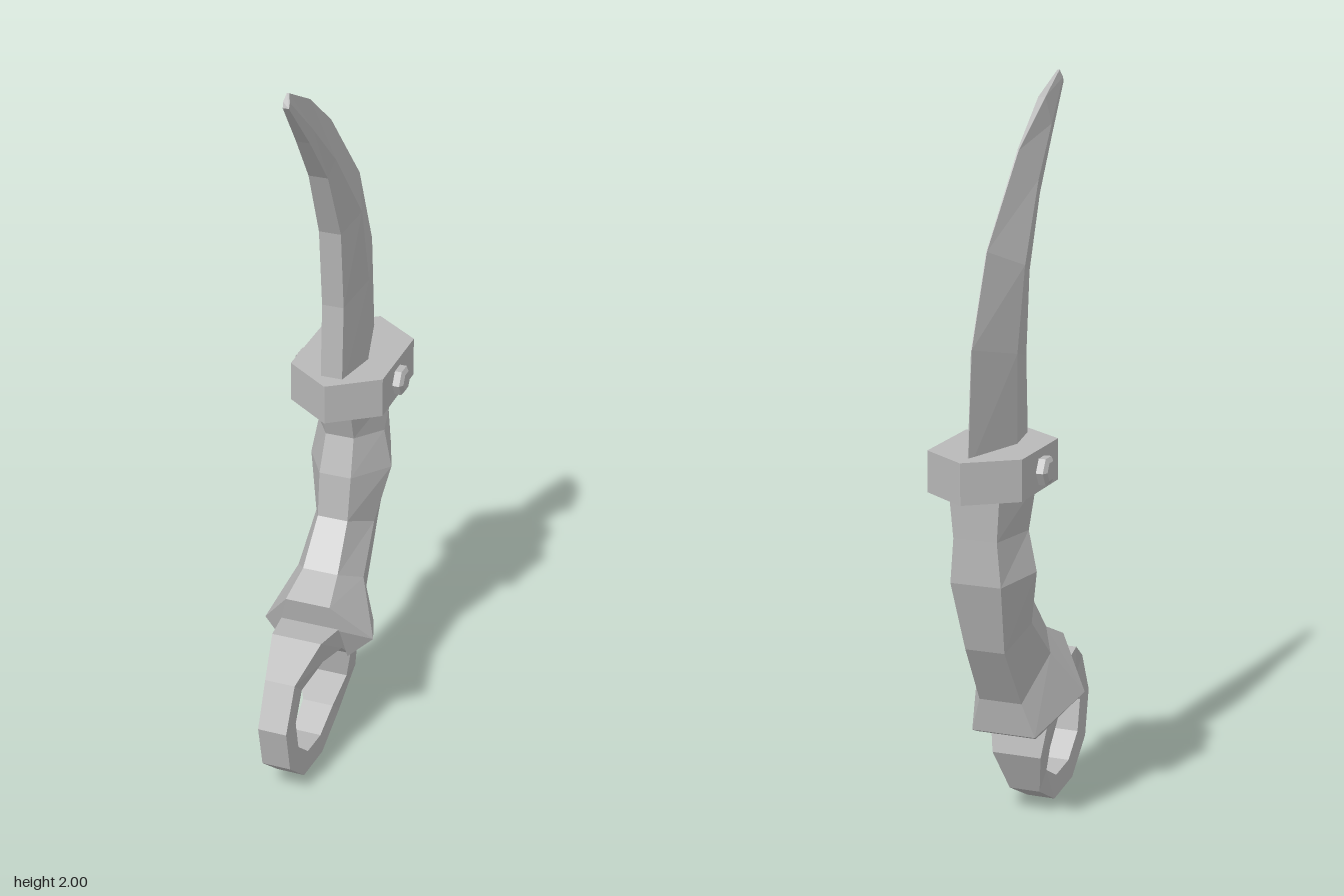
import * as THREE from 'three';

const steel = new THREE.MeshStandardMaterial({ color: 0xb8b8b8 });
steel.name = 'grey steel';
steel.flatShading = true;

// Lofts half sections of [x, y, z], listed front to back and mirrored across x = 0.
function loft(name, halves, closed = false) {
  const rings = halves.map(h => [...h, ...h.map(([x, y, z]) => [-x, y, z]).reverse()]);
  const n = rings[0].length, out = [];
  const tri = (a, b, c) => out.push(...a, ...b, ...c);
  const last = closed ? rings.length : rings.length - 1;
  for (let s = 0; s < last; s++) {
    const a = rings[s], b = rings[(s + 1) % rings.length];
    for (let i = 0; i < n; i++) {
      const j = (i + 1) % n;
      tri(a[i], a[j], b[j]);
      tri(a[i], b[j], b[i]);
    }
  }
  if (!closed) {
    const a = rings[0], b = rings[rings.length - 1];
    for (let i = 1; i < n - 1; i++) {
      tri(a[0], a[i + 1], a[i]);
      tri(b[0], b[i], b[i + 1]);
    }
  }
  const g = new THREE.BufferGeometry();
  g.setAttribute('position', new THREE.Float32BufferAttribute(out, 3));
  g.computeVertexNormals();
  const mesh = new THREE.Mesh(g, steel);
  mesh.name = name;
  return mesh;
}

export function createModel() {
  const model = new THREE.Group();
  model.name = 'curvedKnife';

  // Blade: flat inner edge, widest at the ridge, sharp spine
  model.add(loft('blade', [
    [[0.03, 1.05, -0.03], [0.055, 1.05, -0.165], [0.001, 1.05, -0.362]],
    [[0.03, 1.29, -0.042], [0.055, 1.32, -0.165], [0.001, 1.357, -0.335]],
    [[0.03, 1.51, -0.02], [0.054, 1.54, -0.11], [0.001, 1.59, -0.235]],
    [[0.026, 1.70, 0.062], [0.035, 1.74, 0.03], [0.002, 1.82, -0.025]],
    [[0.018, 1.835, 0.165], [0.022, 1.87, 0.155], [0.01, 1.94, 0.14]],
    [[0.008, 1.966, 0.275], [0.009, 1.98, 0.27], [0.003, 2.0, 0.26]],
  ]));

  // Guard: elongated hexagonal block
  const guardAt = y => [[0.001, y, 0.022], [0.13, y, -0.07], [0.13, y, -0.318], [0.001, y, -0.412]];
  model.add(loft('guard', [guardAt(0.975), guardAt(1.085)]));

  // Hexagonal bolts on both sides of the guard
  for (const side of [1, -1]) {
    const bolt = new THREE.Group();
    bolt.name = side > 0 ? 'leftBolt' : 'rightBolt';
    const head = new THREE.Mesh(new THREE.CylinderGeometry(0.04, 0.04, 0.03, 6), steel);
    head.name = 'boltHead';
    const cap = new THREE.Mesh(new THREE.CylinderGeometry(0.027, 0.04, 0.008, 6), steel);
    cap.name = 'boltCap';
    cap.position.y = 0.019;
    bolt.add(head, cap);
    bolt.rotation.z = -side * Math.PI / 2;
    bolt.position.set(side * 0.134, 1.027, -0.186);
    model.add(bolt);
  }

  // Handle: wavy six-sided grip with a flared collar at the bottom
  model.add(loft('handle', [
    [[0.085, 0.405, 0.13], [0.092, 0.297, 0.085], [0.085, 0.268, -0.11]],
    [[0.063, 0.485, 0.147], [0.158, 0.355, 0.063], [0.09, 0.278, -0.13]],
    [[0.05, 0.53, 0.052], [0.095, 0.485, -0.03], [0.06, 0.375, -0.15]],
    [[0.043, 0.645, -0.042], [0.085, 0.6, -0.14], [0.055, 0.545, -0.255]],
    [[0.045, 0.77, -0.06], [0.117, 0.755, -0.185], [0.07, 0.74, -0.315]],
    [[0.04, 0.875, -0.095], [0.095, 0.865, -0.186], [0.06, 0.86, -0.317]],
    [[0.043, 0.99, -0.056], [0.117, 0.99, -0.19], [0.07, 0.99, -0.322]],
  ]));

  // Finger ring: ten-sided, widening where it meets the handle
  const widths = [0.04, 0.042, 0.07, 0.088, 0.088, 0.07, 0.044, 0.04, 0.04, 0.04];
  model.add(loft('fingerRing', widths.map((w, i) => {
    const a = THREE.MathUtils.degToRad(173 - 36 * i);
    return [0.225, 0.155].map(r => [w, 0.212 + r * Math.sin(a) * 0.95, 0.186 - r * Math.cos(a)]);
  }), true));

  return model;
}
